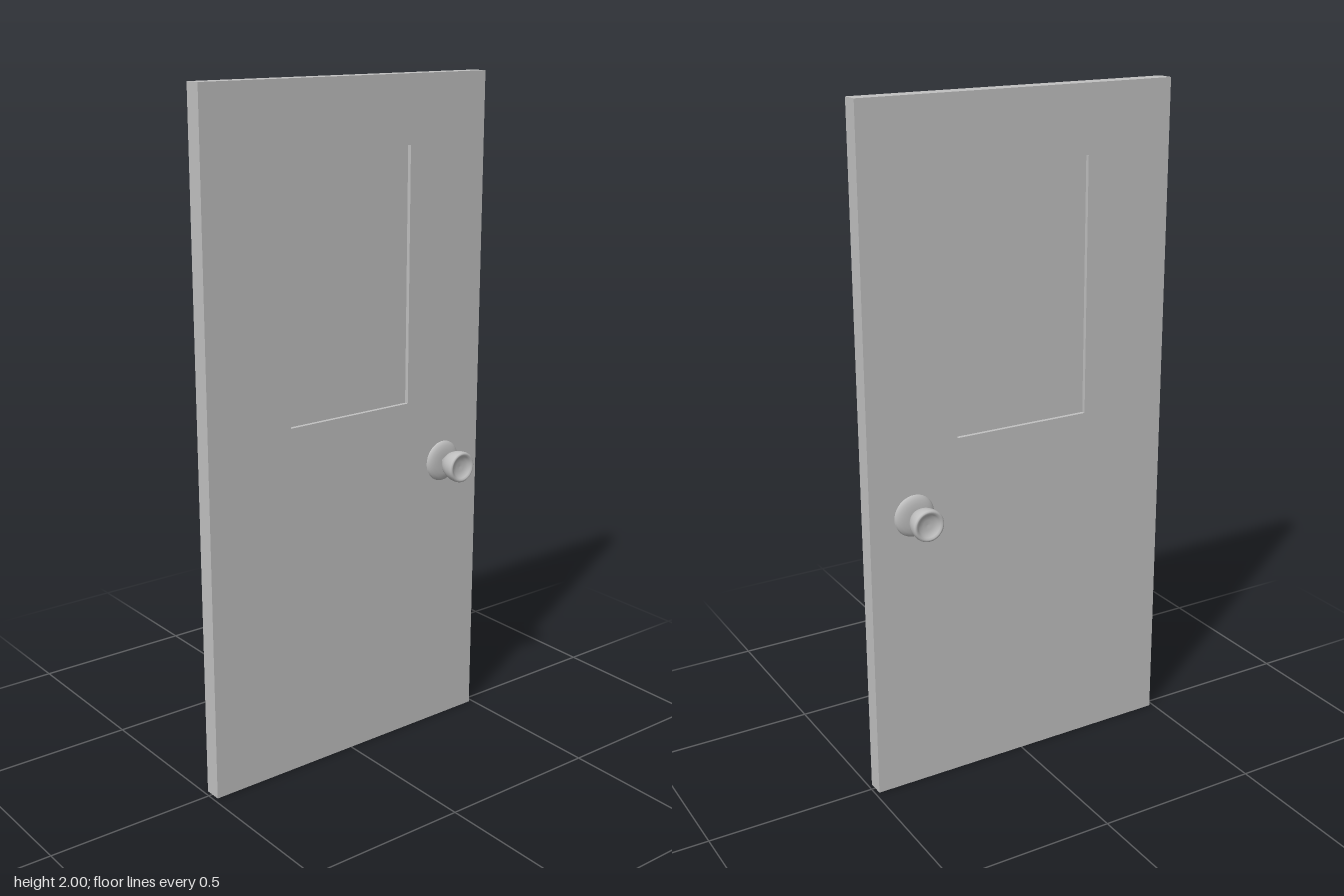
import * as THREE from 'three';

const HEIGHT = 2, HALF_W = 0.488, THICK = 0.051;

function rectPoints(x0, x1, y0, y1) {
  return [[x0, y0], [x1, y0], [x1, y1], [x0, y1]].map(([x, y]) => new THREE.Vector2(x, y));
}

// Turned part whose axis points along +z
function turned(points, segments = 40) {
  const profile = points.map(([r, z]) => new THREE.Vector2(r, z));
  return new THREE.LatheGeometry(profile, segments).rotateX(Math.PI / 2);
}

export function createModel() {
  const group = new THREE.Group();
  group.name = 'door';
  const grey = new THREE.MeshStandardMaterial({ color: 0xc0c0c0 });
  grey.name = 'grey';

  const add = (parent, name, geometry) => {
    const mesh = new THREE.Mesh(geometry, grey);
    mesh.name = name;
    parent.add(mesh);
    return mesh;
  };

  // Slab with a rectangular opening
  const slab = new THREE.Shape(rectPoints(-HALF_W, HALF_W, 0, HEIGHT));
  const [px0, px1, py0, py1] = [-0.215, 0.21, 1.055, 1.805];
  slab.holes.push(new THREE.Path(rectPoints(px0, px1, py0, py1)));
  const slabGeo = new THREE.ExtrudeGeometry(slab, { depth: THICK, bevelEnabled: false });
  add(group, 'doorSlab', slabGeo.translate(0, 0, -THICK / 2));

  // Panel set back from both faces of the slab
  const panel = add(group, 'recessedPanel', new THREE.BoxGeometry(px1 - px0, py1 - py0, 0.027));
  panel.position.set((px0 + px1) / 2, (py0 + py1) / 2, 0);

  // Rounded rosette and a flared knob with a dished end, on both faces
  const rosette = turned([
    [0.062, 0.02], [0.062, 0.026], [0.058, 0.031], [0.05, 0.035], [0.038, 0.038],
    [0.022, 0.039], [0, 0.039],
  ]);
  const knob = turned([
    [0.013, 0.03], [0.013, 0.039], [0.018, 0.046], [0.027, 0.055], [0.036, 0.066],
    [0.042, 0.079], [0.046, 0.094], [0.047, 0.108], [0.046, 0.115], [0.043, 0.118],
    [0.039, 0.118], [0.034, 0.115], [0.028, 0.109], [0.015, 0.106], [0, 0.105],
  ]);
  for (const [side, turn] of [['front', 0], ['back', Math.PI]]) {
    const handle = new THREE.Group();
    handle.name = side + 'Handle';
    handle.position.set(0.35, 0.852, 0);
    handle.rotation.y = turn;
    add(handle, side + 'Rosette', rosette);
    add(handle, side + 'Knob', knob);
    group.add(handle);
  }

  // The whole door stands very slightly ajar
  group.rotation.y = 0.0056;
  return group;
}
